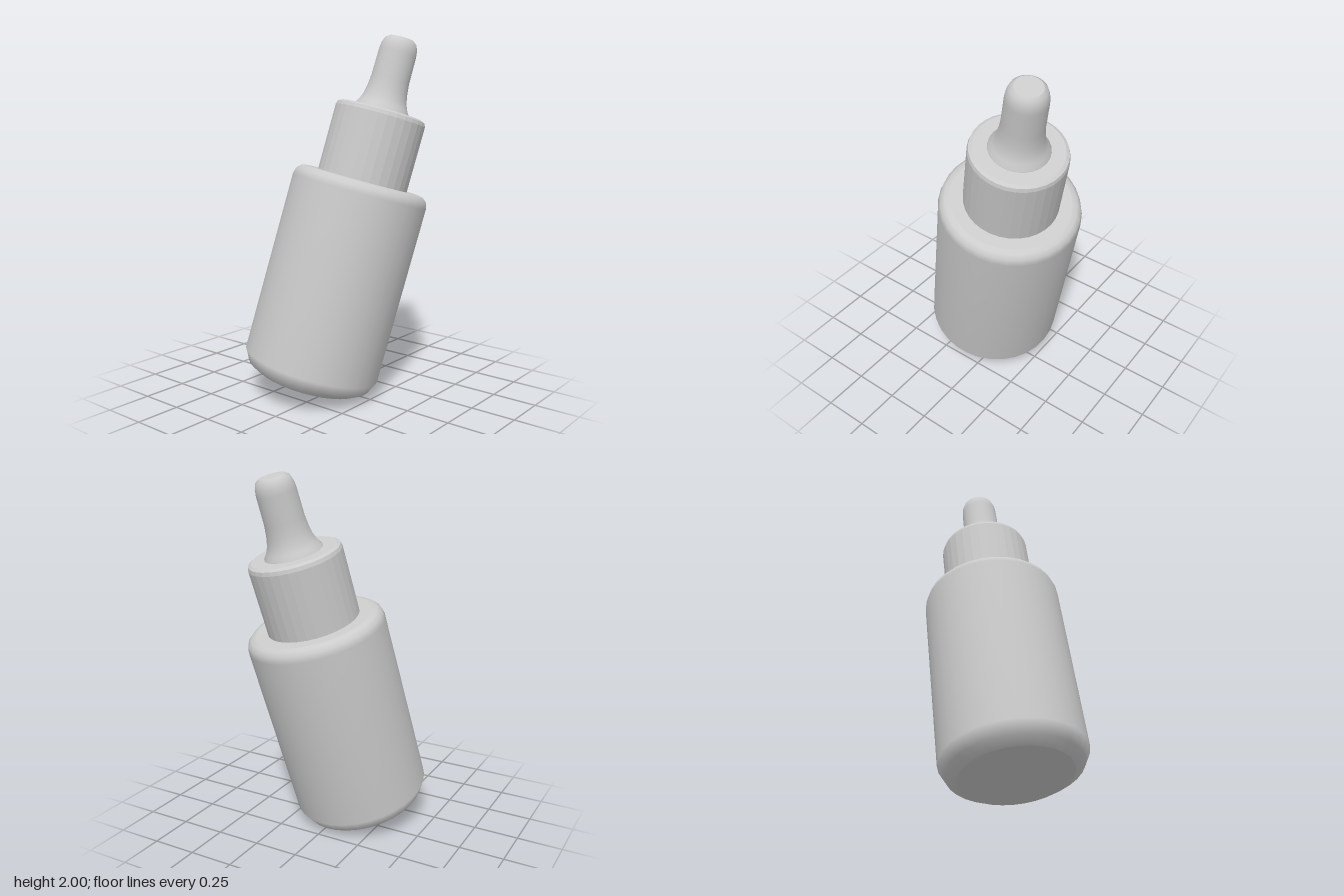
import * as THREE from 'three';

// Revolve [radius, height] pairs, bottom to top; a repeated pair makes a hard edge.
function turned(name, profile, segments, flatShading = false) {
  const points = profile.map(([r, h]) => new THREE.Vector2(r, h));
  const geometry = new THREE.LatheGeometry(points, segments);
  const material = new THREE.MeshStandardMaterial({ color: 0xcccccc, flatShading });
  const mesh = new THREE.Mesh(geometry, material);
  mesh.name = name;
  return mesh;
}

export function createModel() {
  const model = new THREE.Group();
  model.name = 'dropperBottle';

  // Heights run along the bottle's axis, measured from its middle.
  const bottle = new THREE.Group();
  bottle.name = 'tiltedBottle';

  // Bottle body with bevelled foot and rounded shoulder
  bottle.add(turned('body', [
    [0, -0.592], [0.295, -0.592], [0.295, -0.592], [0.35, -0.56], [0.384, -0.495],
    [0.384, 0.515], [0.374, 0.55], [0.352, 0.57], [0.325, 0.577], [0.325, 0.577], [0, 0.577],
  ], 32));

  // Faceted collar that holds the bulb
  bottle.add(turned('collar', [
    [0, 0.56], [0.256, 0.56], [0.256, 0.945], [0.25, 0.965], [0.232, 0.975], [0, 0.975],
  ], 32, true));

  // Squeeze bulb with a flared base
  bottle.add(turned('bulb', [
    [0.16, 0.965], [0.158, 0.98], [0.14, 1.005], [0.125, 1.04], [0.115, 1.085],
    [0.108, 1.15], [0.106, 1.3], [0.102, 1.335], [0.09, 1.368], [0.07, 1.383],
    [0.07, 1.383], [0, 1.383],
  ], 24));

  // Lean towards the left and the back
  const axis = new THREE.Vector3(0.164, 1, -0.235).normalize();
  bottle.quaternion.setFromUnitVectors(new THREE.Vector3(0, 1, 0), axis);
  bottle.position.set(0, 0.65, 0.002);
  model.add(bottle);
  return model;
}
